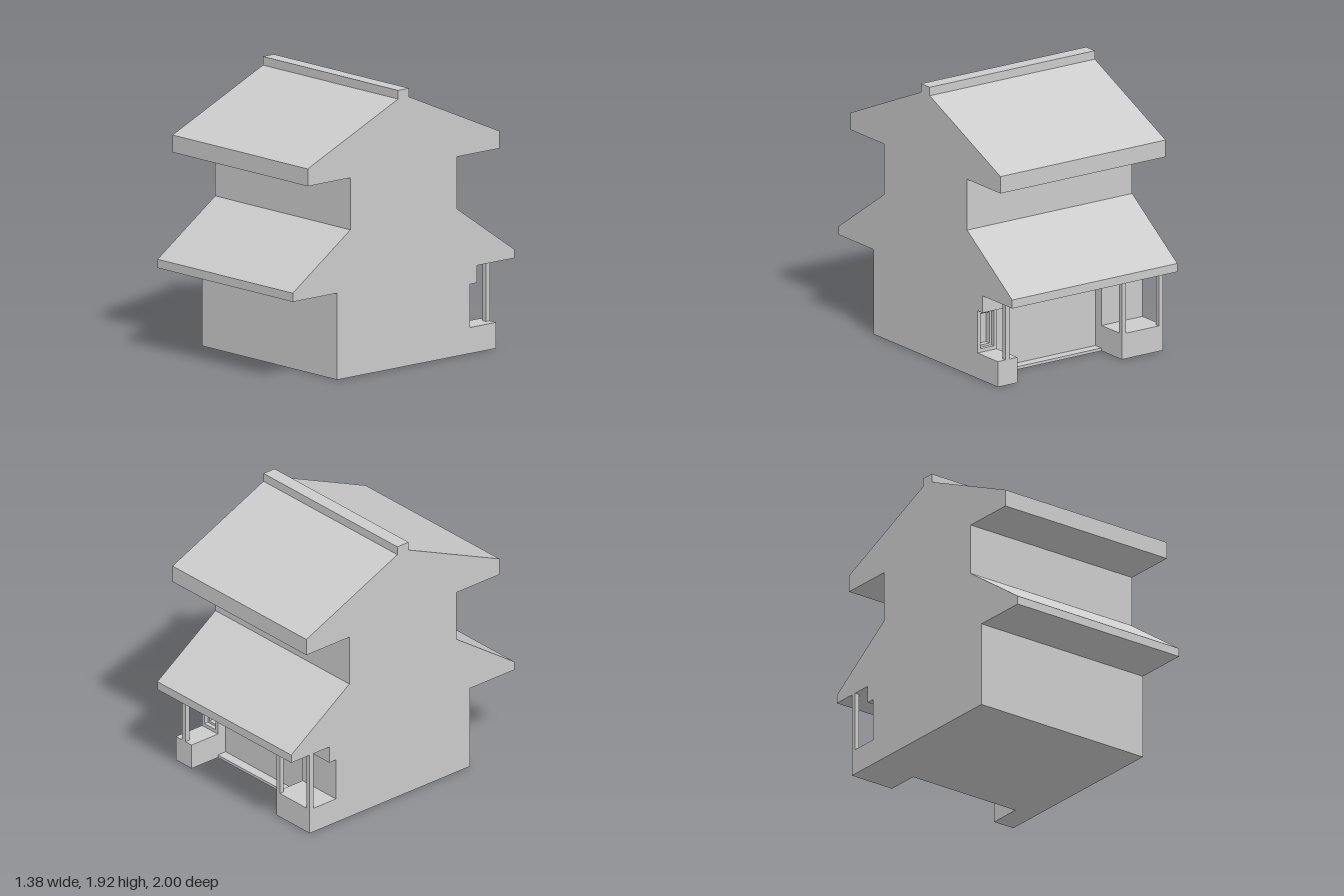
import * as THREE from 'three';

const HALF = 0.6875;   // half the house width
const BACK = -0.6;     // plane of the rear wall
const RECESS = -0.53;  // plane of the recessed rear wall

export function createModel() {
  const house = new THREE.Group();
  house.name = 'house';
  const material = new THREE.MeshStandardMaterial({ color: 0xcccccc, flatShading: true });

  const add = (name, geometry) => {
    const mesh = new THREE.Mesh(geometry, material);
    mesh.name = name;
    house.add(mesh);
    return mesh;
  };
  const box = (name, x0, x1, y0, y1, z0, z1) =>
    add(name, new THREE.BoxGeometry(x1 - x0, y1 - y0, z1 - z0))
      .position.set((x0 + x1) / 2, (y0 + y1) / 2, (z0 + z1) / 2);
  const outline = (points) => new THREE.Shape(points.map(([x, y]) => new THREE.Vector2(x, y)));
  const extrude = (shape, depth) => new THREE.ExtrudeGeometry(shape, { depth, bevelEnabled: false });

  // Upper storey with both tiers of roof: a mirrored (z, y) profile run along x
  const half = [
    [1, 0.6], [1, 0.66], [0.48, 1.02], [0.48, 1.38], [0.865, 1.38],
    [0.865, 1.5], [0.05, 1.86], [0.05, 1.92],
  ];
  const profile = [...half, ...half.map(([z, y]) => [-z, y]).reverse()];
  const upper = extrude(outline(profile), 2 * HALF);
  upper.translate(0, 0, -HALF).rotateY(-Math.PI / 2);
  add('upperStoreyAndRoofs', upper);

  // Ground floor: thin floor, walls with a rear recess, and a lintel band over it
  box('floor', -HALF, HALF, 0, 0.02, BACK, 0.6);
  const plan = [
    [-HALF, -0.6], [HALF, -0.6], [HALF, -RECESS],
    [-0.345, -RECESS], [-0.345, -BACK], [-HALF, -BACK],
  ];
  const walls = extrude(outline(plan), 0.46);
  walls.rotateX(-Math.PI / 2).translate(0, 0.02, 0);
  add('groundFloorWalls', walls);
  box('lintel', -HALF, HALF, 0.48, 0.6, -0.66, 0.6);

  // Rear window: wall panel with an opening and a thinner inner frame
  const frame = (name, x0, x1, y0, y1, border, sill, z0, z1) => {
    const shape = outline([[x0, y0], [x1, y0], [x1, y1], [x0, y1]]);
    shape.holes.push(outline([
      [x0 + border, y0 + sill], [x0 + border, y1 - border],
      [x1 - border, y1 - border], [x1 - border, y0 + sill],
    ]));
    add(name, extrude(shape, z1 - z0)).position.z = z0;
  };
  frame('windowWall', 0.525, HALF, 0.02, 0.48, 0.025, 0.185, BACK, RECESS);
  frame('windowFrame', 0.55, HALF - 0.025, 0.205, 0.455, 0.015, 0.015, -0.57, RECESS);

  // Porch blocks either side of the rear entrance
  box('porchBlockLeft', 0.525, HALF, 0, 0.18, -0.835, BACK);
  box('porchBlockRight', -HALF, -0.345, 0, 0.18, -0.835, BACK);

  // Slim posts carrying the rear eave
  for (const x of [0.606, -0.3625, -0.67]) {
    box('porchPost', x - 0.0175, x + 0.0175, 0.18, 0.6, -0.835, -0.8);
  }
  return house;
}
